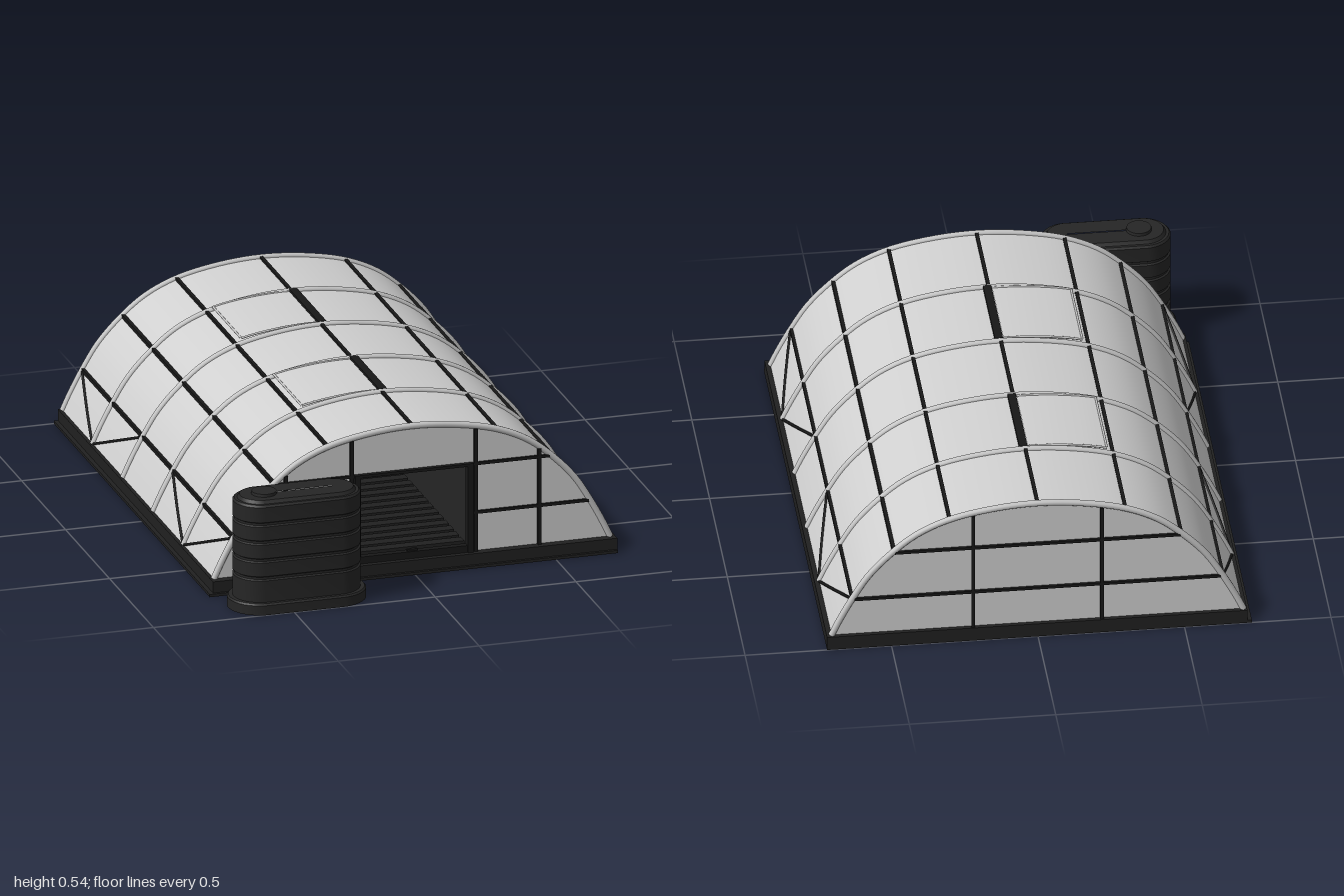
import * as THREE from 'three';
import { toCreasedNormals } from 'three/addons/utils/BufferGeometryUtils.js';

const mat = (name, color, side = THREE.FrontSide) => {
  const m = new THREE.MeshStandardMaterial({ color, side });
  m.name = name;
  return m;
};

const FRONT = 0.735, BACK = -0.985, SILL = 0.05;

// Arch cross-section: right half given, left half mirrored
const half = [[0, 0.525], [0.15, 0.514], [0.3, 0.482], [0.41, 0.432], [0.495, 0.365],
  [0.575, 0.28], [0.632, 0.19], [0.675, 0.11], [0.703, SILL]];
const knots = [...half.slice(1).reverse().map(([x, y]) => [-x, y]), ...half];
const archCurve = new THREE.CatmullRomCurve3(knots.map(([x, y]) => new THREE.Vector3(x, y, 0)));
const samples = archCurve.getPoints(64);

// Interpolate along the arch: height at x, or half-width at y
function archY(x) {
  for (let i = 0; i < 64; i++) {
    const a = samples[i], b = samples[i + 1];
    if (x <= b.x) return a.y + (b.y - a.y) * (x - a.x) / (b.x - a.x);
  }
  return SILL;
}
function archX(y) {
  for (let i = 32; i < 64; i++) {
    const a = samples[i], b = samples[i + 1];
    if (y >= b.y) return a.x + (b.x - a.x) * (y - a.y) / (b.y - a.y);
  }
  return 0.703;
}

export function createModel() {
  const root = new THREE.Group();
  root.name = 'greenhouse';
  const cover = mat('cover film', 0xd0d0d0, THREE.DoubleSide);
  const hoopMat = mat('hoop metal', 0xc6c6c6);
  const dark = mat('dark frame', 0x181818);
  const baseMat = mat('base', 0x202020);
  const tankMat = mat('tank plastic', 0x262626);

  const add = (name, geo, m) => {
    const mesh = new THREE.Mesh(geo, m);
    mesh.name = name;
    root.add(mesh);
    return mesh;
  };
  // Box given by its limits on each axis
  const box = (name, m, x0, x1, y0, y1, z0, z1) => {
    const mesh = add(name, new THREE.BoxGeometry(x1 - x0, y1 - y0, z1 - z0), m);
    mesh.position.set((x0 + x1) / 2, (y0 + y1) / 2, (z0 + z1) / 2);
    return mesh;
  };
  const tube = (name, m, pts, r, sides = 8) =>
    add(name, new THREE.TubeGeometry(new THREE.CatmullRomCurve3(pts), pts.length * 2, r, sides), m);

  // Curved sheet stretched along z over a row of arch points
  const sheet = (name, pts, z0, z1) => {
    const geo = new THREE.PlaneGeometry(1, 1, pts.length - 1, 1);
    const pos = geo.attributes.position;
    for (let i = 0; i < pos.count; i++) {
      const p = pts[i % pts.length];
      pos.setXYZ(i, p.x, p.y, i < pts.length ? z0 : z1);
    }
    geo.computeVertexNormals();
    return add(name, geo, cover);
  };

  // Base
  box('basePlate', baseMat, -0.73, 0.72, 0, 0.01, -1, 0.775);
  box('baseCurb', baseMat, -0.715, 0.72, 0.008, SILL, -1, 0.765);

  // Roof cover and hoops
  sheet('roofCover', samples, BACK, FRONT);
  for (let i = 0; i < 6; i++) {
    const z = BACK + (FRONT - BACK) * i / 5;
    add('hoop', new THREE.TubeGeometry(archCurve, 64, 0.011, 10), hoopMat).position.z = z;
  }

  // Lengthwise purlins
  for (const x of [-0.632, -0.49, -0.3, 0, 0.3, 0.49, 0.632])
    box('purlin', dark, x - 0.006, x + 0.006, archY(x) - 0.007, archY(x) + 0.007, BACK, FRONT);

  // Diagonal braces near the ground on both sides
  for (const side of [-1, 1])
    for (const [zTop, zLow] of [[FRONT, 0.391], [0.047, 0.391], [-0.297, -0.641], [BACK, -0.641]]) {
      const pts = [];
      for (let i = 0; i <= 6; i++) {
        const y = 0.19 - 0.14 * i / 6;
        pts.push(new THREE.Vector3(side * (archX(y) + 0.002), y, zTop + (zLow - zTop) * i / 6));
      }
      tube('sideBrace', dark, pts, 0.005, 6);
    }

  // End walls, the front one with a doorway
  for (const [name, z] of [['frontWall', FRONT], ['backWall', BACK]]) {
    const shape = new THREE.Shape(samples.map(p => new THREE.Vector2(p.x, p.y)));
    if (z === FRONT) {
      const d = [[-0.19, 0.055], [-0.19, 0.36], [0.2, 0.36], [0.2, 0.055]];
      shape.holes.push(new THREE.Path(d.map(([x, y]) => new THREE.Vector2(x, y))));
    }
    add(name, new THREE.ShapeGeometry(shape), cover).position.z = z;
  }

  // End wall posts and rails
  const post = (x, z) => box('endPost', dark, x - 0.006, x + 0.006, SILL, archY(x) - 0.008, z - 0.006, z + 0.006);
  for (const x of [-0.45, -0.215, 0.225, 0.45]) post(x, FRONT + 0.006);
  for (const x of [-0.22, 0.22]) post(x, BACK - 0.006);
  for (const y of [0.19, 0.366]) {
    const w = archX(y) - 0.006;
    box('backRail', dark, -w, w, y - 0.005, y + 0.005, BACK - 0.01, BACK - 0.001);
    box('frontRailRight', dark, -w, -0.19, y - 0.005, y + 0.005, FRONT + 0.001, FRONT + 0.01);
    box('frontRailLeft', dark, 0.2, w, y - 0.005, y + 0.005, FRONT + 0.001, FRONT + 0.01);
  }

  // Door frame, sill and slatted floor inside
  box('doorJamb', dark, -0.206, -0.185, SILL, 0.368, FRONT - 0.012, FRONT + 0.016);
  box('doorJamb', dark, 0.194, 0.216, SILL, 0.368, FRONT - 0.012, FRONT + 0.016);
  box('doorLintel', dark, -0.206, 0.216, 0.361, 0.371, FRONT - 0.012, FRONT + 0.016);
  box('doorSill', dark, -0.19, 0.2, SILL, 0.075, FRONT - 0.012, FRONT + 0.012);
  box('doorLatch', dark, -0.018, 0.018, 0.075, 0.082, FRONT - 0.006, FRONT + 0.006);
  for (let i = 0; i < 28; i++) {
    const z = 0.69 - i * 0.058;
    box('floorSlat', baseMat, -0.2, 0.2, SILL - 0.002, 0.072, z - 0.04, z);
  }

  // Roof vents, hinged along the ridge and slightly lifted at the free edge
  for (const [z0, z1] of [[0.06, 0.38], [-0.63, -0.31]]) {
    const pts = [];
    for (let i = 0; i <= 10; i++) {
      const x = -0.28 + 0.27 * i / 10;
      pts.push(new THREE.Vector3(x, archY(x) + 0.005 + 0.01 * (1 - i / 10), 0));
    }
    sheet('ventPanel', pts, z0, z1);
    for (const z of [z0, z1])
      tube('ventFrame', hoopMat, pts.map(p => p.clone().setZ(z)), 0.004);
    tube('ventEdge', hoopMat, [z0, z1].map(z => pts[0].clone().setZ(z)), 0.004);
    box('ventHinge', dark, -0.008, 0.02, 0.519, 0.536, z0 - 0.008, z1 + 0.008);
  }

  // Water tank: a turned profile pulled apart along x into a long oval
  const oval = (name, profile, stretch, m) => {
    const seg = 36;
    const geo = new THREE.LatheGeometry(profile.map(([r, y]) => new THREE.Vector2(r, y)), seg, Math.PI / seg);
    const pos = geo.attributes.position;
    for (let i = 0; i < pos.count; i++) pos.setX(i, pos.getX(i) + Math.sign(pos.getX(i)) * stretch);
    const mesh = add(name, toCreasedNormals(geo, 0.5), m);
    mesh.position.set(-0.458, 0, 0.889);
    return mesh;
  };
  oval('tankFoot', [[0.002, 0], [0.111, 0], [0.111, 0.034], [0.106, 0.04], [0.002, 0.04]], 0.131, tankMat);
  const body = [[0.094, 0.04]];
  for (const y of [0.125, 0.19, 0.255, 0.32])
    body.push([0.094, y - 0.008], [0.088, y - 0.004], [0.088, y + 0.004], [0.094, y + 0.008]);
  body.push([0.094, 0.382], [0.088, 0.389], [0.078, 0.389], [0.07, 0.4], [0.002, 0.4]);
  oval('tankBody', body, 0.129, tankMat);
  const lid = add('tankLid', new THREE.CylinderGeometry(0.042, 0.044, 0.012, 28), tankMat);
  lid.position.set(-0.573, 0.404, 0.889);

  return root;
}
